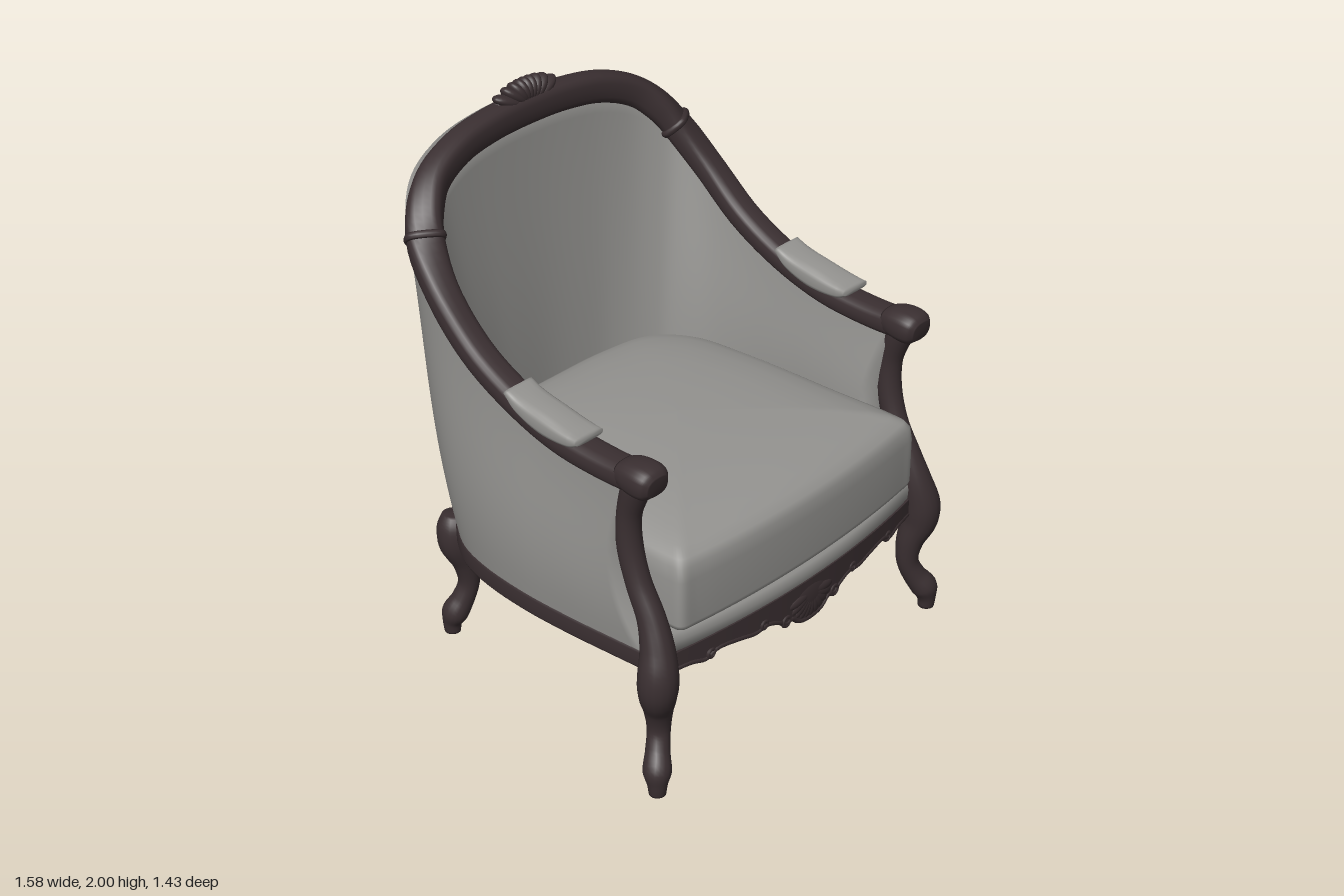
import * as THREE from 'three';

const wood = new THREE.MeshStandardMaterial({ color: 0x3a2f31 });
wood.name = 'dark wood';
const fabric = new THREE.MeshStandardMaterial({ color: 0x949390, side: THREE.DoubleSide });
fabric.name = 'grey fabric';

const V = (x, y, z) => new THREE.Vector3(x, y, z);
const spline = (pts, closed = false) => new THREE.CatmullRomCurve3(pts, closed);
// Mirrors a half path that ends on x = 0 into a full path
const mirrored = (half) => [...half, ...half.slice(0, -1).reverse().map(([x, ...r]) => [-x, ...r])];

// Smooth surface through rows x cols points given by fn(row, col)
function grid(fn, rows, cols, closed) {
  const pos = [], idx = [];
  for (let i = 0; i < rows; i++) for (let j = 0; j < cols; j++) pos.push(...fn(i, j).toArray());
  for (let i = 0; i < rows - 1; i++) {
    for (let j = 0; j < (closed ? cols : cols - 1); j++) {
      const k = (j + 1) % cols;
      const a = i * cols + j, b = i * cols + k, c = a + cols, d = b + cols;
      idx.push(a, b, c, b, d, c);
    }
  }
  const g = new THREE.BufferGeometry();
  g.setAttribute('position', new THREE.Float32BufferAttribute(pos, 3));
  g.setIndex(idx);
  g.computeVertexNormals();
  return g;
}

// Rounded section swept along points [x, y, z, radius along up, radius across]
function sweep(pts, up, steps = 40, sides = 16, power = 1) {
  const path = spline(pts.map((p) => V(p[0], p[1], p[2])));
  const radii = spline(pts.map((p, i) => V(p[3], p[4] ?? p[3], i)));
  const soft = (c) => Math.sign(c) * Math.abs(c) ** power;
  return grid((i, j) => {
    const t = THREE.MathUtils.clamp((i - 1) / (steps - 2), 0, 1);
    const T = path.getTangent(t), r = radii.getPoint(t);
    const N = up.clone().addScaledVector(T, -up.dot(T)).normalize();
    const B = T.clone().cross(N);
    const a = (j / sides) * Math.PI * 2, cap = i === 0 || i === steps ? 0 : 1;
    return path.getPoint(t)
      .addScaledVector(N, soft(Math.cos(a)) * r.x * cap)
      .addScaledVector(B, soft(Math.sin(a)) * r.y * cap);
  }, steps + 1, sides, true);
}

export function createModel() {
  const model = new THREE.Group();
  const add = (name, geo, mat, parent = model) => {
    const m = new THREE.Mesh(geo, mat);
    m.name = name;
    parent.add(m);
    return m;
  };
  const blob = (name, parent, p, s, rz = 0) => {
    const m = add(name, new THREE.SphereGeometry(1, 20, 14), wood, parent);
    m.position.set(...p);
    m.scale.set(...s);
    m.rotation.z = rz;
  };
  const Y = V(0, 1, 0), Z = V(0, 0, 1);

  // Continuous arm and back rail: x, y, z, half height, half width
  const rail = mirrored([
    [0.69, 1.175, 0.56, 0.048, 0.058], [0.69, 1.172, 0.4, 0.046, 0.06], [0.69, 1.19, 0.2, 0.046, 0.06],
    [0.688, 1.25, 0, 0.046, 0.058], [0.685, 1.355, -0.2, 0.046, 0.057], [0.672, 1.51, -0.37, 0.047, 0.058],
    [0.633, 1.645, -0.485, 0.05, 0.065], [0.58, 1.73, -0.54, 0.056, 0.063], [0.495, 1.802, -0.585, 0.057, 0.056],
    [0.35, 1.858, -0.615, 0.057, 0.053], [0.18, 1.882, -0.63, 0.057, 0.052], [0, 1.887, -0.635, 0.057, 0.052]]);
  add('armAndBackRail', sweep(rail, Y, 110, 20, 0.7), wood);
  const top = spline(rail.map(([x, y, z]) => V(x, y, z)));

  // Base rail on the sides and back
  const plan = mirrored([
    [0.69, 0.58], [0.7, 0.42], [0.71, 0.22], [0.71, 0.02], [0.69, -0.18], [0.65, -0.33], [0.59, -0.43],
    [0.52, -0.51], [0.42, -0.575], [0.28, -0.63], [0.14, -0.655], [0, -0.665]]);
  const base = spline(plan.map(([x, z]) => V(x, 0.5, z)));
  add('baseRail', sweep(plan.map(([x, z]) => [x * 0.975, 0.468, z * 0.975, 0.04, 0.028]), Y, 90, 16, 0.4), wood);

  // Upholstered tub: outside rises to the rail, inside falls behind the cushion
  const cols = 96, half = 14;
  add('upholsteredTub', grid((i, j) => {
    const t = j / (cols - 1), T = base.getTangent(t);
    const n = V(-T.z, 0, T.x).normalize();
    const end = j === 0 || j === cols - 1;
    const outside = i < half;
    const v = outside ? i / (half - 1) : 1 - (i - half) / (half - 1);
    const low = base.getPoint(t), high = top.getPoint(t);
    const arch = Math.sin(Math.PI * v), back = Math.abs(n.z);
    if (end) low.addScaledVector(n, -0.045);
    else if (outside) {
      low.addScaledVector(n, 0.005 + 0.04 * arch * Math.abs(n.x));
      high.addScaledVector(n, 0.02 + 0.06 * back);
      high.y += 0.02 * back;
    } else {
      low.addScaledVector(n, -0.095 - 0.045 * back - 0.02 * arch);
      low.y = 0.74;
      high.addScaledVector(n, -0.03);
    }
    const p = low.lerp(high, v);
    const pull = Math.sin(Math.PI * THREE.MathUtils.clamp((p.y - 0.5) / 0.67, 0, 1));
    p.z -= 0.1 * pull * THREE.MathUtils.clamp((p.z - 0.2) / 0.36, 0, 1);
    return p;
  }, half * 2, cols, false), fabric);

  // Seat cushion: stacked rings of a bow-fronted outline that grows rounder inwards
  const outline = spline(mirrored([[0, 0.7], [0.3, 0.69], [0.55, 0.665], [0.618, 0.65], [0.627, 0.59], [0.615, 0.3],
    [0.605, -0.1], [0.57, -0.36], [0.46, -0.49], [0.25, -0.53], [0, -0.535]])
    .slice(0, -1).map(([x, z]) => V(x, 0, z - 0.08)), true);
  const levels = [[0, 0.587], [0.97, 0.587], [0.993, 0.592], [1, 0.61], [1, 0.7], [1, 0.78], [0.992, 0.83],
    [0.97, 0.855], [0.92, 0.876], [0.85, 0.894], [0.73, 0.913], [0.55, 0.928], [0.3, 0.937], [0, 0.94]];
  add('seatCushion', grid((i, j) => {
    const [s, y] = levels[i], p = outline.getPoint(j / 100);
    p.lerp(p.clone().setLength(0.62), 1 - s).multiplyScalar(s);
    return V(p.x, y, p.z + 0.08);
  }, levels.length, 100, true), fabric);

  // Upholstered band between cushion and apron
  const bow = (x) => 0.7 - 0.075 * (x / 0.65) ** 2;
  const band = [[-0.04, 0.49], [0, 0.505], [0.004, 0.545], [-0.004, 0.575], [-0.03, 0.588], [-0.12, 0.59]];
  add('frontBand', grid((i, j) => {
    const x = -0.645 + (j / 24) * 1.29;
    return V(x, band[i][1], bow(x) + band[i][0]);
  }, band.length, 25, false), fabric);

  for (const [s, side] of [[1, 'left'], [-1, 'right']]) {
    const flip = (pts) => pts.map(([x, ...r]) => [s * x, ...r]);
    // Front cabriole leg running up into the arm post
    add(side + 'FrontLegAndPost', sweep(flip([
      [0.748, 0, 0.663, 0.03], [0.748, 0.04, 0.663, 0.036], [0.74, 0.085, 0.655, 0.05], [0.71, 0.14, 0.63, 0.043],
      [0.685, 0.21, 0.612, 0.041], [0.69, 0.3, 0.615, 0.052], [0.715, 0.39, 0.635, 0.068],
      [0.715, 0.46, 0.637, 0.07], [0.7, 0.55, 0.62, 0.06], [0.69, 0.65, 0.585, 0.05], [0.688, 0.77, 0.525, 0.045],
      [0.688, 0.9, 0.488, 0.045], [0.69, 1.02, 0.488, 0.043], [0.69, 1.12, 0.515, 0.05], [0.69, 1.16, 0.53, 0.05]]),
    Z, 70, 18), wood);

    // Rear cabriole leg, turned out towards the back corner
    add(side + 'RearLeg', sweep(flip([
      [0.553, 0, -0.533, 0.03], [0.553, 0.04, -0.533, 0.036], [0.546, 0.085, -0.522, 0.05], [0.52, 0.14, -0.505, 0.043],
      [0.5, 0.21, -0.492, 0.04], [0.508, 0.3, -0.495, 0.05], [0.532, 0.39, -0.51, 0.068],
      [0.535, 0.46, -0.515, 0.066], [0.53, 0.51, -0.52, 0.045]]), Z, 44, 18), wood);

    // Scrolled arm end
    add(side + 'ArmScroll', sweep(flip([
      [0.69, 1.18, 0.47, 0.042, 0.056], [0.69, 1.182, 0.51, 0.055, 0.066], [0.69, 1.181, 0.56, 0.06, 0.07],
      [0.69, 1.178, 0.595, 0.054, 0.064], [0.69, 1.175, 0.615, 0.035, 0.046]]), Y, 24, 20, 0.75), wood);

    // Arm pad with lifted ends
    add(side + 'ArmPad', sweep(flip([
      [0.69, 1.238, 0.315, 0.012, 0.064], [0.69, 1.23, 0.27, 0.028, 0.067], [0.69, 1.24, 0.15, 0.042, 0.068],
      [0.69, 1.272, 0.04, 0.03, 0.067], [0.69, 1.306, -0.01, 0.012, 0.065]]), Y, 30, 18, 0.6), fabric);

    // Collar binding the back rail
    const p = top.getPoint(0.28), d = top.getTangent(0.28).multiplyScalar(0.013);
    const a = p.clone().sub(d), b = p.clone().add(d);
    add(side + 'RailCollar', sweep(flip([[a.x, a.y, a.z, 0.057, 0.068], [p.x, p.y, p.z, 0.062, 0.073],
      [b.x, b.y, b.z, 0.057, 0.068]]), Y, 8, 20, 0.7), wood);
  }

  // Bowed front apron with a scalloped lower edge
  const edge = mirrored([[0.66, 0.43], [0.56, 0.43], [0.5, 0.418], [0.45, 0.44], [0.35, 0.432], [0.28, 0.42],
    [0.22, 0.428], [0.16, 0.405], [0.13, 0.385], [0.1, 0.392], [0.06, 0.362], [0, 0.352]]);
  const scallop = spline(edge.map(([x, y]) => V(x, y, 0)));
  add('frontApron', grid((i, j) => {
    const { x, y } = scallop.getPoint(i / 110);
    // Four section corners, doubled to keep the edges sharp
    const corner = ((j + 1) >> 1) % 4;
    const upper = corner === 1 || corner === 2, rear = corner > 1;
    return V(x, upper ? 0.5 + 0.02 * (1 - (x / 0.66) ** 2) : y, bow(x) + (rear ? -0.043 : 0.007));
  }, 111, 8, true), wood);
  add('apronBead', sweep(edge.map(([x, y]) => [x, y + 0.006, bow(x), 0.011]), Z, 100, 8), wood);

  // Carved scrolls on the apron
  for (const s of [-1, 1]) {
    for (const [x, y, r] of [[0.13, 0.402, 0.018], [0.24, 0.442, 0.014], [0.48, 0.438, 0.015]]) {
      const m = add('apronScroll', new THREE.TorusGeometry(r, 0.008, 8, 18), wood);
      m.position.set(s * x, y, bow(x) + 0.004);
    }
  }

  // Carved shell: petals fanned within a half ellipse over a low mound
  const fan = (name, y, z, dir, tall, wide, depth) => {
    const g = new THREE.Group();
    g.name = name;
    model.add(g);
    for (let k = -5; k <= 5; k++) {
      const a = (k / 5) * 1.45;
      const len = 1 / Math.hypot(Math.sin(a) / wide, Math.cos(a) / tall);
      blob('petal', g, [Math.sin(a) * len * 0.5, y + dir * Math.cos(a) * len * 0.5, z],
        [0.024, len * 0.52, depth], -a * dir);
    }
    blob('shellMound', g, [0, y + dir * 0.02, z], [wide * 0.85, tall * 0.62, depth * 0.95]);
  };
  fan('crestCarving', 1.898, -0.638, 1, 0.1, 0.185, 0.042);
  fan('apronCarving', 0.46, 0.698, -1, 0.105, 0.12, 0.016);

  return model;
}
